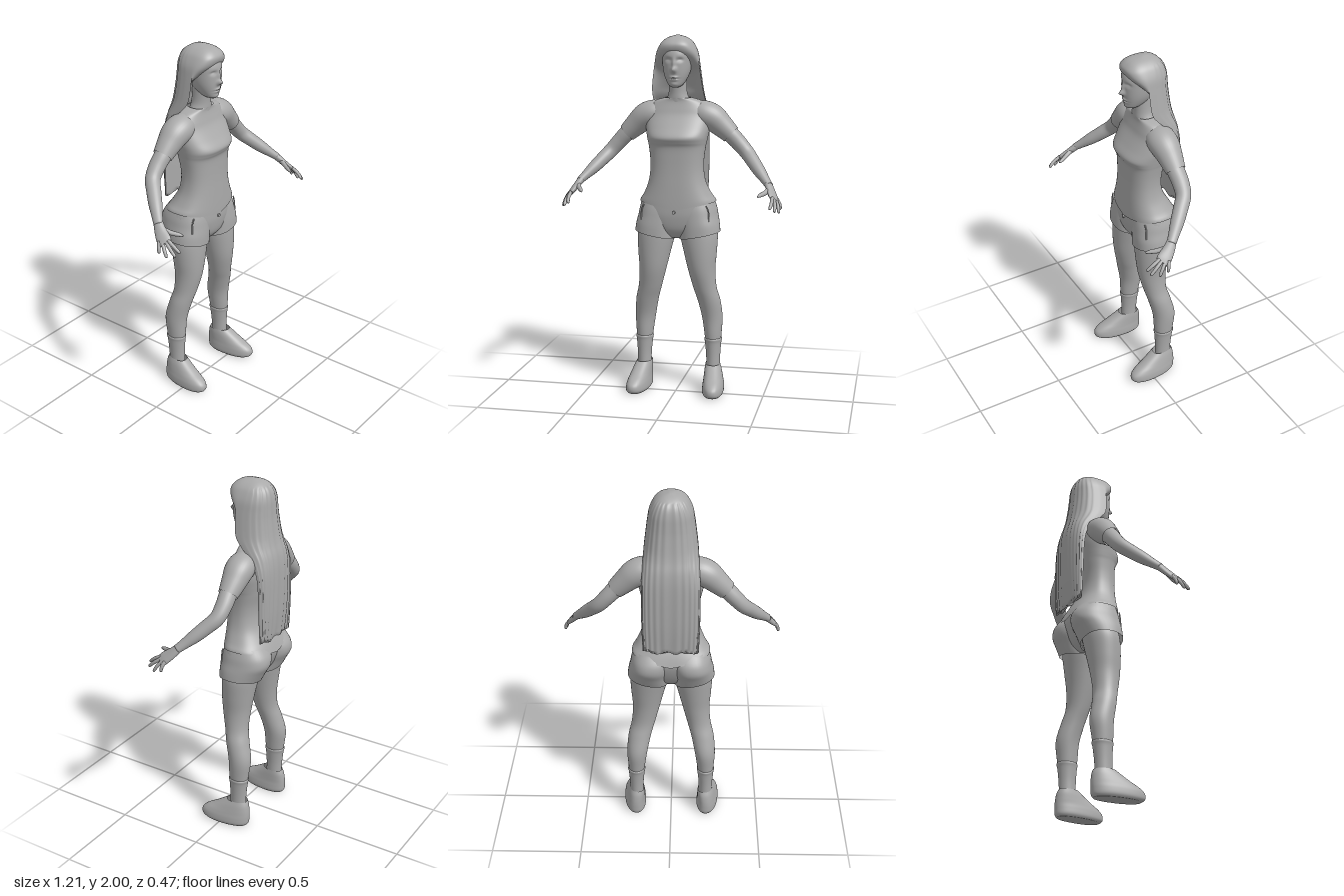
import * as THREE from 'three';

const grey = new THREE.MeshStandardMaterial({ color: 0xaaaaaa, side: THREE.DoubleSide });
grey.name = 'plain grey';

// Smoothly resample a list of number rows (Catmull-Rom on every column)
function resample(rows, sub) {
  const out = [], n = rows.length;
  for (let i = 0; i < n - 1; i++) {
    const [a, b, c, d] = [rows[Math.max(i - 1, 0)], rows[i], rows[i + 1], rows[Math.min(i + 2, n - 1)]];
    for (let k = 0; k < sub; k++) {
      const t = k / sub;
      out.push(b.map((_, j) => 0.5 * (2 * b[j] + (c[j] - a[j]) * t +
        (2 * a[j] - 5 * b[j] + 4 * c[j] - d[j]) * t * t + (3 * b[j] - a[j] - 3 * c[j] + d[j]) * t * t * t)));
    }
  }
  out.push(rows[n - 1]);
  return out;
}

// Skin closed rings of points; caps close the first and last ring
function skin(rings, capStart, capEnd) {
  const pos = [], idx = [], m = rings[0].length, n = rings.length;
  rings.forEach(r => r.forEach(p => pos.push(p.x, p.y, p.z)));
  for (let i = 0; i < n - 1; i++) for (let j = 0; j < m; j++) {
    const a = i * m + j, b = i * m + (j + 1) % m;
    idx.push(a, a + m, b, b, a + m, b + m);
  }
  const cap = (row, flip) => {
    const c = new THREE.Vector3();
    rings[row].forEach(p => c.addScaledVector(p, 1 / m));
    const k = pos.length / 3;
    pos.push(c.x, c.y, c.z);
    for (let j = 0; j < m; j++) {
      const a = row * m + j, b = row * m + (j + 1) % m;
      if (flip) idx.push(k, a, b); else idx.push(k, b, a);
    }
  };
  if (capStart) cap(0, true);
  if (capEnd) cap(n - 1, false);
  const g = new THREE.BufferGeometry();
  g.setAttribute('position', new THREE.Float32BufferAttribute(pos, 3));
  g.setIndex(idx);
  g.computeVertexNormals();
  return g;
}

// Upright loft; rows rise: [y, centreX, halfWidth, sideZ, frontZ, backZ]
function loft(rows, { e = 1, segs = 40, sub = 5, capStart = false, capEnd = false, tweak } = {}) {
  const pw = v => Math.sign(v) * Math.abs(v) ** e;
  return skin(resample(rows, sub).map(([y, cx, rx, zs, zf, zb]) => Array.from({ length: segs }, (_, j) => {
    const t = j / segs * Math.PI * 2, s = pw(Math.sin(t));
    const p = new THREE.Vector3(cx + rx * pw(Math.cos(t)), y, zs + (s > 0 ? (zf - zs) * s : (zs - zb) * s));
    if (tweak) tweak(p, t);
    return p;
  })), capStart, capEnd);
}

// Limb along a path; rows: [x, y, z, radius, thickness]
const palmNormal = new THREE.Vector3(0.9, 0.75, 0.26).normalize();
function limb(rows, { segs = 20, sub = 5, capStart = true, capEnd = true } = {}) {
  const pts = resample(rows, sub), at = i => new THREE.Vector3(...pts[i].slice(0, 3));
  return skin(pts.map((r, i) => {
    const d = at(Math.min(i + 1, pts.length - 1)).sub(at(Math.max(i - 1, 0))).normalize();
    const u = d.clone().cross(palmNormal).normalize(), v = u.clone().cross(d);
    return Array.from({ length: segs }, (_, j) => {
      const t = j / segs * Math.PI * 2;
      return at(i).addScaledVector(u, r[3] * Math.cos(t)).addScaledVector(v, r[4] * Math.sin(t));
    });
  }), capStart, capEnd);
}

function mirrored(geo) {
  const g = geo.clone().scale(-1, 1, 1), ix = g.index.array;
  for (let i = 0; i < ix.length; i += 3) [ix[i], ix[i + 1]] = [ix[i + 1], ix[i]];
  g.computeVertexNormals();
  return g;
}

export function createModel() {
  const model = new THREE.Group();
  model.name = 'standingWoman';
  const add = (name, geo) => {
    const m = new THREE.Mesh(geo, grey);
    m.name = name;
    model.add(m);
  };
  const pair = (name, geo) => { add(name + 'Left', geo); add(name + 'Right', mirrored(geo)); };
  const bump = (x, y, sx, sy) => Math.exp(-((x / sx) ** 2) - (y / sy) ** 2);

  // Head with sculpted eye sockets, nose and lips
  add('head', loft([
    [1.718, 0, 0.014, 0.005, 0.025, -0.02], [1.73, 0, 0.036, 0, 0.038, -0.05],
    [1.76, 0, 0.056, -0.02, 0.045, -0.09], [1.8, 0, 0.071, -0.035, 0.05, -0.13],
    [1.85, 0, 0.079, -0.045, 0.052, -0.15], [1.9, 0, 0.08, -0.05, 0.052, -0.155],
    [1.95, 0, 0.066, -0.055, 0.03, -0.14], [1.98, 0, 0.035, -0.06, 0, -0.1],
  ], {
    e: 0.9, segs: 96, sub: 10, capStart: true, capEnd: true,
    tweak: p => {
      if (p.z < 0) return;
      const ax = Math.abs(p.x);
      p.z += 0.026 * bump(p.x, p.y - 1.814, 0.013, 0.014) + 0.012 * bump(p.x, p.y - 1.845, 0.009, 0.028)
        - 0.013 * bump(ax - 0.032, p.y - 1.867, 0.016, 0.01) + 0.006 * bump(ax - 0.032, p.y - 1.864, 0.011, 0.006)
        + 0.009 * bump(p.x, p.y - 1.774, 0.02, 0.006) + 0.008 * bump(p.x, p.y - 1.76, 0.017, 0.006)
        - 0.005 * bump(p.x, p.y - 1.767, 0.025, 0.003) + 0.005 * bump(p.x, p.y - 1.735, 0.02, 0.012);
    },
  }));
  add('neck', loft([
    [1.62, 0, 0.085, -0.075, -0.015, -0.13], [1.66, 0, 0.06, -0.07, -0.012, -0.12],
    [1.7, 0, 0.05, -0.065, -0.01, -0.115], [1.78, 0, 0.05, -0.06, 0, -0.11],
  ]));

  // Long hair: a cap that opens round the face and falls as a flat sheet
  add('hair', loft([
    [1.14, 0, 0.15, -0.195, -0.19, -0.215], [1.3, 0, 0.155, -0.19, -0.19, -0.228],
    [1.5, 0, 0.155, -0.18, -0.19, -0.232], [1.6, 0, 0.15, -0.14, -0.165, -0.225],
    [1.67, 0, 0.145, -0.075, -0.13, -0.207], [1.72, 0, 0.14, -0.04, -0.115, -0.197],
    [1.8, 0, 0.13, -0.03, -0.075, -0.186], [1.85, 0, 0.123, -0.03, -0.02, -0.182],
    [1.9, 0, 0.114, -0.04, 0.035, -0.178], [1.94, 0, 0.097, -0.05, 0.052, -0.168],
    [1.967, 0, 0.078, -0.055, 0.038, -0.15], [1.988, 0, 0.048, -0.06, 0.005, -0.12],
    [2, 0, 0.01, -0.065, -0.055, -0.08],
  ], {
    e: 0.75, segs: 120, capStart: true, capEnd: true,
    tweak: (p, t) => {
      if (Math.sin(t) < 0 && p.y < 1.97) p.z += 0.0025 * Math.cos(t * 24);
      if (p.y < 1.17) p.y += 0.008 * Math.sin(p.x * 60);
    },
  }));

  // Shirt body, hem dipping in the middle
  add('shirt', loft([
    [1.065, 0, 0.213, -0.075, 0.056, -0.217], [1.1, 0, 0.203, -0.07, 0.056, -0.2],
    [1.18, 0, 0.165, -0.05, 0.054, -0.155], [1.25, 0, 0.15, -0.045, 0.052, -0.138],
    [1.32, 0, 0.149, -0.045, 0.052, -0.14], [1.39, 0, 0.157, -0.05, 0.055, -0.155],
    [1.42, 0, 0.163, -0.055, 0.068, -0.16], [1.45, 0, 0.169, -0.06, 0.076, -0.166],
    [1.5, 0, 0.178, -0.07, 0.045, -0.174], [1.56, 0, 0.178, -0.08, 0.01, -0.176],
    [1.6, 0, 0.17, -0.085, -0.004, -0.167], [1.64, 0, 0.135, -0.085, -0.014, -0.15],
    [1.66, 0, 0.07, -0.075, -0.012, -0.125],
  ], {
    e: 0.8, segs: 64,
    tweak: p => { p.y += (Math.abs(p.x) - 0.1) * 0.2 * THREE.MathUtils.clamp((1.12 - p.y) / 0.05, 0, 1); },
  }));
  pair('sleeve', limb([
    [0.08, 1.58, -0.085, 0.06, 0.06], [0.14, 1.572, -0.085, 0.078, 0.072], [0.19, 1.55, -0.088, 0.078, 0.074],
    [0.24, 1.508, -0.09, 0.066, 0.064], [0.294, 1.458, -0.09, 0.053, 0.052],
  ], { segs: 32, capEnd: false }));

  // Arms and hands
  pair('arm', limb([
    [0.24, 1.508, -0.09, 0.048, 0.048], [0.294, 1.458, -0.09, 0.047, 0.046], [0.34, 1.41, -0.092, 0.045, 0.043],
    [0.385, 1.36, -0.082, 0.041, 0.04], [0.425, 1.315, -0.042, 0.039, 0.037], [0.465, 1.27, 0.002, 0.036, 0.033],
    [0.5, 1.232, 0.042, 0.029, 0.025], [0.527, 1.203, 0.073, 0.025, 0.02],
  ], { segs: 28 }));
  pair('palm', limb([
    [0.52, 1.211, 0.065, 0.025, 0.02], [0.542, 1.175, 0.1, 0.033, 0.017],
    [0.558, 1.148, 0.133, 0.039, 0.014], [0.565, 1.135, 0.152, 0.034, 0.01],
  ]));
  [['index', [0.553, 1.146, 0.165], [0.55, 1.1, 0.232]], ['middle', [0.561, 1.141, 0.15], [0.575, 1.085, 0.222]],
    ['ring', [0.569, 1.137, 0.134], [0.594, 1.075, 0.18]], ['little', [0.576, 1.135, 0.118], [0.597, 1.086, 0.132]],
  ].forEach(([name, a, b]) => {
    const mix = (t, lift, r) => [...a.map((v, i) => v + (b[i] - v) * t + palmNormal.getComponent(i) * lift), r, r];
    pair(name + 'Finger', limb([mix(-0.1, 0, 0.01), mix(0.5, 0.005, 0.0095), mix(0.9, 0, 0.008), mix(1, 0, 0.004)],
      { segs: 12, sub: 3 }));
  });
  pair('thumb', limb([[0.532, 1.187, 0.095, 0.016, 0.014], [0.512, 1.172, 0.14, 0.013, 0.012],
    [0.493, 1.165, 0.175, 0.011, 0.01], [0.483, 1.16, 0.199, 0.005, 0.005]], { segs: 12, sub: 3 }));

  // Shorts: hips plus two slanted leg openings
  add('shortsHips', loft([
    [0.885, 0, 0.05, -0.06, 0, -0.12], [0.93, 0, 0.14, -0.06, 0.035, -0.16],
    [1, 0, 0.205, -0.07, 0.05, -0.192], [1.06, 0, 0.212, -0.07, 0.052, -0.202], [1.12, 0, 0.19, -0.07, 0.05, -0.18],
  ], { e: 0.85, capStart: true }));
  pair('shortsLeg', loft([
    [0.897, 0.126, 0.114, -0.06, 0.052, -0.172], [0.95, 0.121, 0.113, -0.065, 0.052, -0.2],
    [1, 0.112, 0.113, -0.075, 0.048, -0.226], [1.05, 0.105, 0.111, -0.08, 0.042, -0.222],
    [1.1, 0.1, 0.1, -0.08, 0.03, -0.188],
  ], { e: 0.9, tweak: p => { p.y += 0.2 * (p.x - 0.12) * THREE.MathUtils.clamp((1.02 - p.y) / 0.1, 0, 1); } }));
  pair('pocket', limb([[0.176, 1.072, 0.022, 0.004, 0.004], [0.188, 1.04, 0.02, 0.004, 0.004],
    [0.192, 0.985, 0.022, 0.004, 0.004]], { segs: 8 }));
  add('button', new THREE.CylinderGeometry(0.009, 0.009, 0.012, 16).rotateX(Math.PI / 2).translate(0, 1.036, 0.055));

  // Legs, socks and shoes
  const legRow = (y, x, z, rx, rz) => [y, x, rx, z, z + rz, z - rz];
  pair('leg', loft([
    legRow(0.14, 0.2, -0.09, 0.034, 0.042), legRow(0.22, 0.2, -0.092, 0.037, 0.045),
    legRow(0.32, 0.198, -0.095, 0.048, 0.057), legRow(0.42, 0.193, -0.097, 0.058, 0.065),
    legRow(0.52, 0.178, -0.075, 0.064, 0.065), legRow(0.6, 0.157, -0.056, 0.066, 0.066),
    legRow(0.7, 0.14, -0.047, 0.076, 0.079), legRow(0.8, 0.131, -0.05, 0.092, 0.091),
    legRow(0.9, 0.121, -0.058, 0.106, 0.1), legRow(0.96, 0.115, -0.065, 0.1, 0.1),
  ]));
  pair('sock', loft([
    legRow(0.13, 0.2, -0.09, 0.038, 0.046), legRow(0.2, 0.2, -0.092, 0.04, 0.048),
    legRow(0.27, 0.199, -0.094, 0.046, 0.054), legRow(0.293, 0.199, -0.095, 0.05, 0.059),
    legRow(0.301, 0.199, -0.095, 0.046, 0.055),
  ]));
  pair('shoe', loft([
    [0.004, 0.213, 0.052, -0.02, 0.11, -0.148], [0.02, 0.213, 0.061, -0.02, 0.131, -0.158],
    [0.05, 0.213, 0.06, -0.025, 0.13, -0.16], [0.075, 0.212, 0.056, -0.035, 0.104, -0.16],
    [0.1, 0.21, 0.052, -0.055, 0.06, -0.158], [0.13, 0.207, 0.047, -0.075, 0.012, -0.153],
    [0.155, 0.204, 0.041, -0.088, -0.025, -0.143],
  ], { e: 0.88, capStart: true, tweak: p => { p.x += 0.08 * (p.z + 0.02); p.y -= 0.004; } }));

  return model;
}
